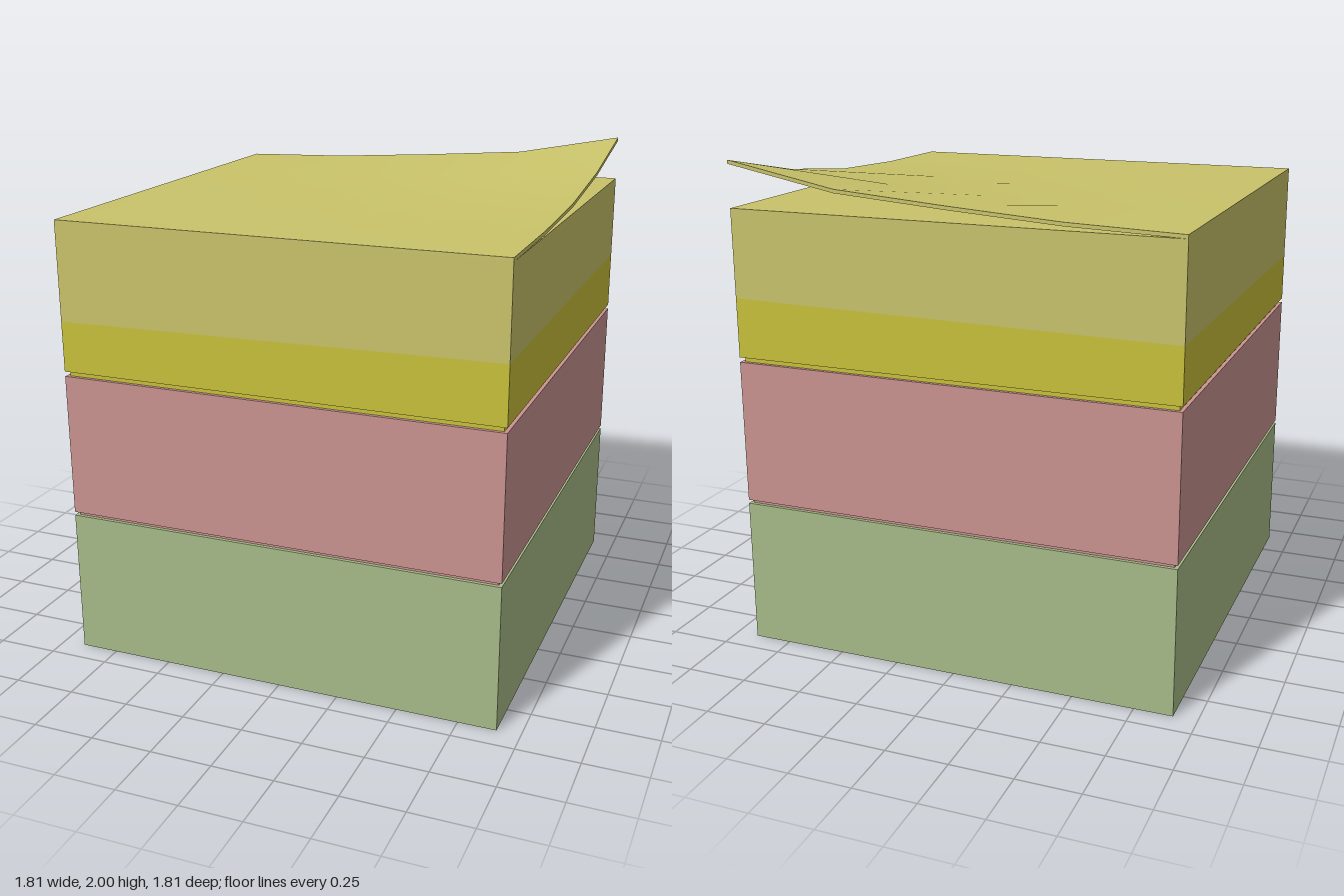
import * as THREE from 'three';

const mat = (name, color) => {
  const m = new THREE.MeshStandardMaterial({ color });
  m.name = name;
  return m;
};

const R = 0.905; // half width of a pad

// Side walls between two rings of four corner heights, plus flat caps on request
function paperWall(low, high, capLow, capHigh) {
  const xz = [[-R, R], [R, R], [R, -R], [-R, -R]];
  const pos = [];
  const at = (ys, i) => [xz[i % 4][0], ys[i % 4], xz[i % 4][1]];
  const quad = (a, b, c, d) => pos.push(...a, ...b, ...c, ...a, ...c, ...d);
  for (let i = 0; i < 4; i++) quad(at(low, i), at(low, i + 1), at(high, i + 1), at(high, i));
  if (capHigh) quad(at(high, 0), at(high, 1), at(high, 2), at(high, 3));
  if (capLow) quad(at(low, 3), at(low, 2), at(low, 1), at(low, 0));
  const g = new THREE.BufferGeometry();
  g.setAttribute('position', new THREE.Float32BufferAttribute(pos, 3));
  g.computeVertexNormals();
  return g;
}

export function createModel() {
  const pale = mat('pale yellow paper', 0xc9c36a);
  const yellow = mat('bright yellow paper', 0xc8c03a);
  const pink = mat('pink paper', 0xc99390);
  const green = mat('green paper', 0xa8bb88);

  const group = new THREE.Group();
  const add = (name, geometry, material) => {
    const m = new THREE.Mesh(geometry, material);
    m.name = name;
    group.add(m);
    return m;
  };
  const slab = (name, half, y0, y1, material) => {
    add(name, new THREE.BoxGeometry(half * 2, y1 - y0, half * 2), material).position.y = (y0 + y1) / 2;
  };

  // Lower pads, each separated by a slightly inset strip
  slab('greenPad', R, 0, 0.6, [green, green, green, pale, green, green]);
  slab('pinkStrip', 0.89, 0.6, 0.615, pink);
  slab('pinkPad', R, 0.615, 1.2, pink);
  slab('yellowStrip', 0.89, 1.2, 1.22, yellow);

  // Top pad in two shades, with a slightly uneven dividing line
  const flat = (y) => [y, y, y, y];
  const divide = [1.425, 1.455, 1.46, 1.44];
  add('yellowPadLower', paperWall(flat(1.22), divide, true, false), yellow);
  add('yellowPadUpper', paperWall(divide, flat(1.815), false, true), pale);

  // Top sheet lifting at the back left corner; rows run back to front, columns along +x
  const lift = [
    [0, 0.015, 0.046, 0.082, 0.17],
    [0, 0.005, 0.018, 0.04, 0.08],
    [0, 0, 0.005, 0.013, 0.026],
    [0, 0, 0, 0.002, 0.005],
    [0, 0, 0, 0, 0],
  ];
  const sheet = new THREE.BoxGeometry(R * 2, 0.015, R * 2, 4, 1, 4);
  const p = sheet.attributes.position;
  for (let i = 0; i < p.count; i++) {
    const col = Math.round((p.getX(i) / R + 1) * 2);
    const row = Math.round((p.getZ(i) / R + 1) * 2);
    p.setY(i, p.getY(i) + 1.8225 + lift[row][col]);
  }
  sheet.computeVertexNormals();
  add('curledTopSheet', sheet, pale);

  return group;
}
